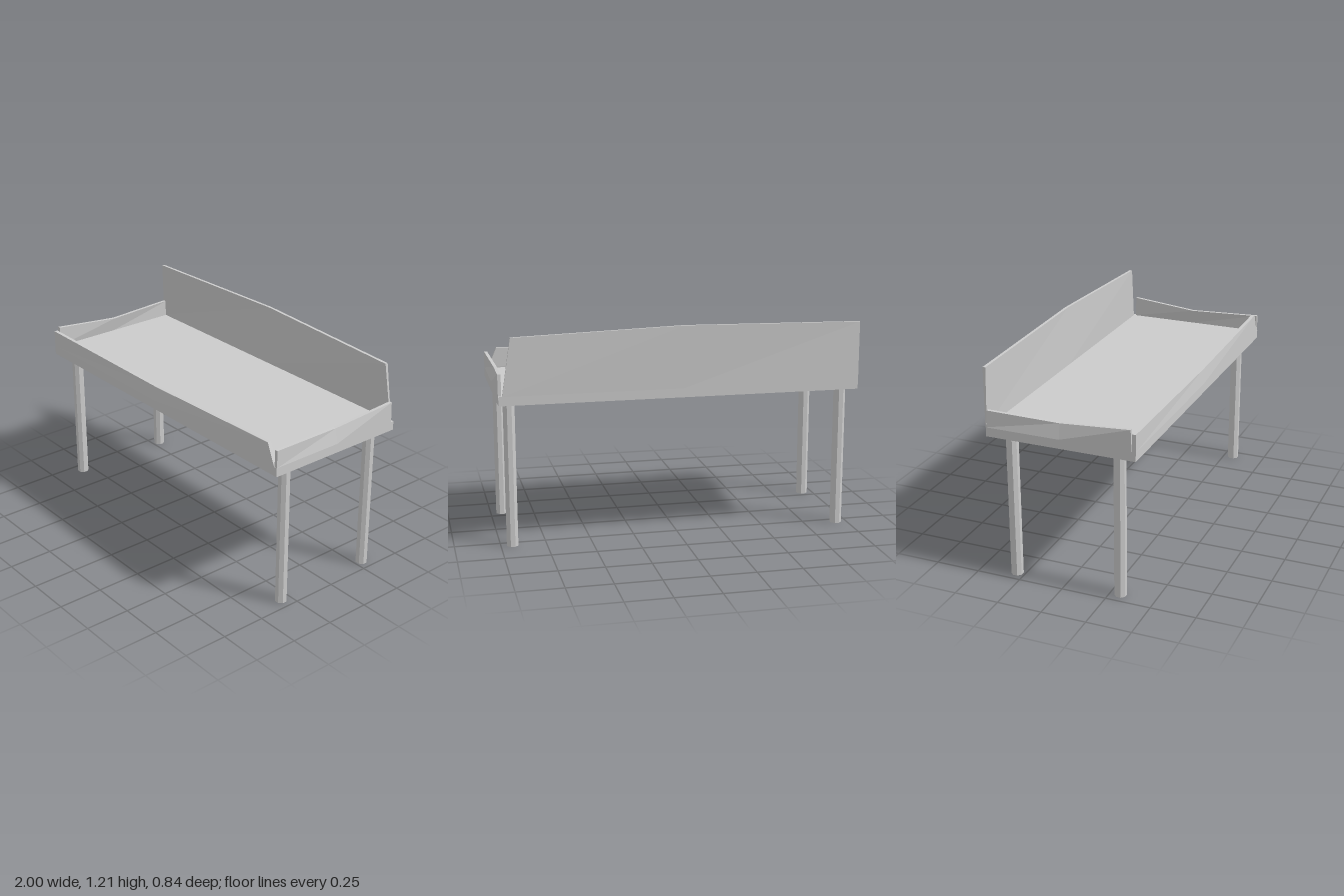
import * as THREE from 'three';

const material = new THREE.MeshStandardMaterial({ color: 0xcccccc, flatShading: true, side: THREE.DoubleSide });

// Thin rail with a kink at mid-length and a slanted cut at its +x end.
// tops: heights at start, middle, end; bow: outward shift of the middle top edge.
function panel(name, { half, tops, cut, thick, bow, base = 0.86, foot = thick }) {
  const geo = new THREE.BoxGeometry(1, 1, 1, 2, 1, 1);
  const p = geo.attributes.position;
  for (let i = 0; i < p.count; i++) {
    const station = Math.round((p.getX(i) + 0.5) * 2);
    const top = p.getY(i) > 0;
    const outer = p.getZ(i) > 0;
    let x = (station - 1) * half;
    if (station === 2) x = top ? half - cut : half - 0.02;
    const z = (outer ? 0 : -(top ? thick : foot)) + (top && station === 1 ? bow : 0);
    p.setXYZ(i, x, top ? tops[station] : base, z);
  }
  geo.computeVertexNormals();
  const mesh = new THREE.Mesh(geo, material);
  mesh.name = name;
  return mesh;
}

export function createModel() {
  const table = new THREE.Group();
  table.name = 'railedTable';

  // Table top slab
  const slab = new THREE.Mesh(new THREE.BoxGeometry(2, 0.05, 0.83), material);
  slab.name = 'tableTop';
  slab.position.set(0, 0.835, 0.005);
  table.add(slab);

  // Legs
  const legGeo = new THREE.CylinderGeometry(0.033, 0.033, 0.81, 8);
  legGeo.rotateY(Math.PI / 8);
  for (const x of [-0.936, 0.936]) {
    for (const z of [-0.294, 0.309]) {
      const leg = new THREE.Mesh(legGeo, material);
      leg.name = 'leg';
      leg.position.set(x, 0.405, z);
      table.add(leg);
    }
  }

  // Low front rail
  const low = [0.955, 0.943, 0.977];
  const front = panel('frontRail', { half: 1, tops: low, cut: 0.07, thick: 0.02, bow: -0.008 });
  front.position.z = 0.42;
  table.add(front);

  // Side rails, each cut at the opposite end
  for (const side of [-1, 1]) {
    const rail = panel(side > 0 ? 'leftRail' : 'rightRail',
      { half: 0.415, tops: low, cut: 0.025, thick: 0.018, bow: -0.016 });
    rail.rotation.y = side * Math.PI / 2;
    rail.position.set(side, 0, 0.003);
    table.add(rail);
  }

  // Tall back board, its inner face towards the front
  const back = panel('backBoard',
    { half: 1, tops: [1.19, 1.205, 1.172], cut: 0.07, thick: 0.016, bow: -0.01, foot: 0.008 });
  back.position.z = -0.396;
  table.add(back);
  // Lean the board's foot slightly backwards
  const p = back.geometry.attributes.position;
  for (let i = 0; i < p.count; i++) if (p.getY(i) < 0.9) p.setZ(i, p.getZ(i) - 0.008);
  back.geometry.computeVertexNormals();

  return table;
}
